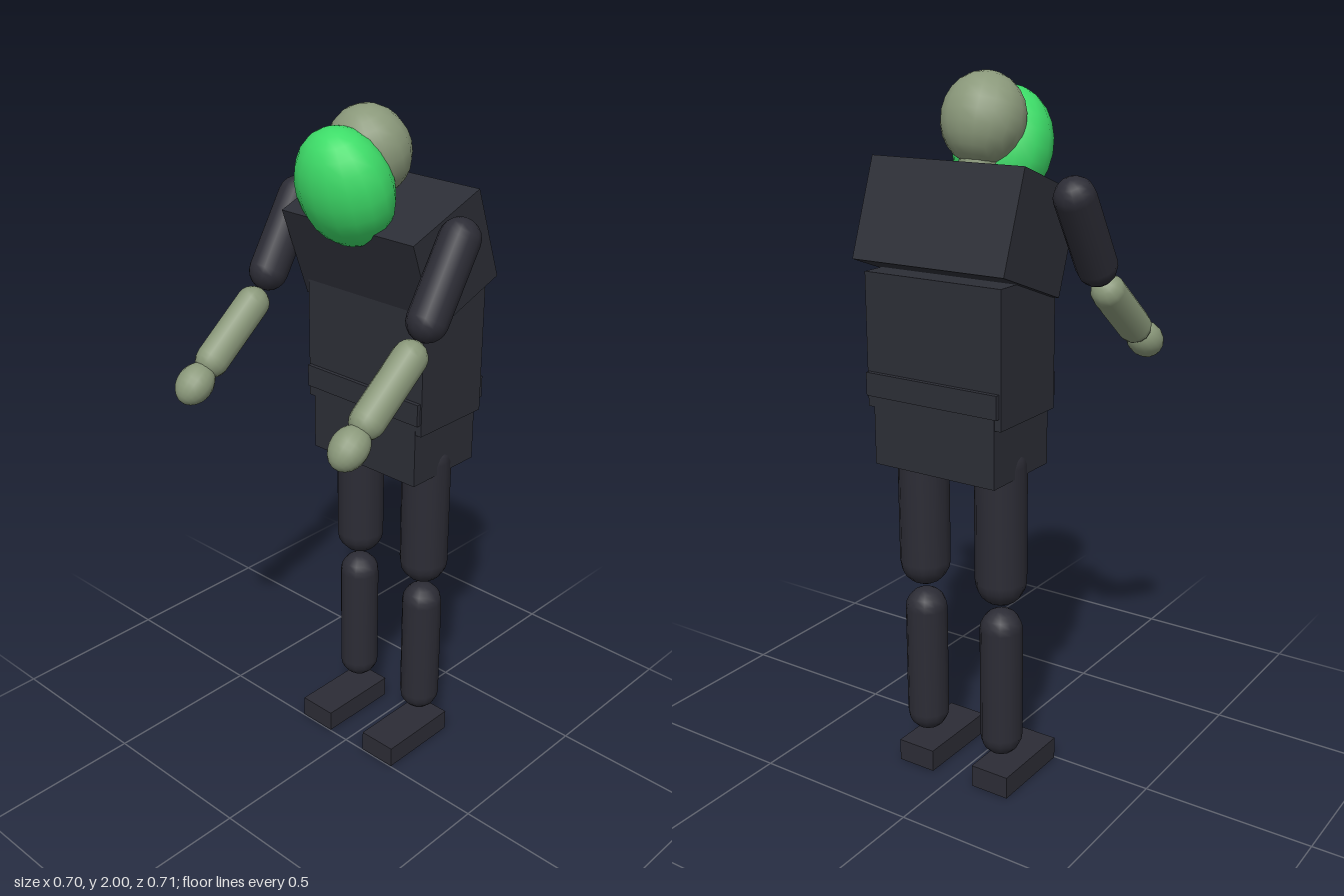
import * as THREE from 'three';

const suit = new THREE.MeshStandardMaterial({ name: 'dark suit', color: 0x2c2e36 });
const cloth = new THREE.MeshStandardMaterial({ name: 'dark cloth', color: 0x2c2c35 });
const skin = new THREE.MeshStandardMaterial({ name: 'grey green skin', color: 0x8a987a });
const green = new THREE.MeshStandardMaterial({ name: 'bright green mask', color: 0x3ddc68 });

export function createModel() {
  const model = new THREE.Group();
  model.name = 'figure';

  const add = (name, geometry, material, x, y, z, tilt = 0) => {
    const mesh = new THREE.Mesh(geometry, material);
    mesh.name = name;
    mesh.position.set(x, y, z);
    mesh.rotation.x = tilt;
    model.add(mesh);
    return mesh;
  };
  const box = (name, material, w, h, d, x, y, z, tilt) =>
    add(name, new THREE.BoxGeometry(w, h, d), material, x, y, z, tilt);
  const ellipsoid = (name, material, rx, ry, rz, x, y, z, tilt) =>
    add(name, new THREE.SphereGeometry(1, 16, 12).scale(rx, ry, rz), material, x, y, z, tilt);
  // Capsule between two end-sphere centres given as [y, z]
  const limb = (name, material, r, x, [y0, z0], [y1, z1]) => {
    const length = Math.hypot(y1 - y0, z1 - z0);
    add(name, new THREE.CapsuleGeometry(r, length, 5, 12), material,
      x, (y0 + y1) / 2, (z0 + z1) / 2, Math.atan2(z0 - z1, y0 - y1));
  };

  // Torso, with the chest hunched forward
  box('hips', suit, 0.39, 0.2, 0.26, 0, 1.06, -0.202);
  box('belly', suit, 0.43, 0.37, 0.258, 0, 1.307, -0.202);
  box('belt', suit, 0.42, 0.065, 0.284, 0, 1.188, -0.203);
  box('chest', suit, 0.475, 0.277, 0.279, 0, 1.608, -0.174, 0.35);

  // Head and mask
  add('neck', new THREE.CylinderGeometry(0.053, 0.053, 0.14, 12), skin, 0, 1.745, -0.115, 0.2);
  ellipsoid('head', skin, 0.117, 0.124, 0.109, 0, 1.878, -0.088, 0.35);
  ellipsoid('mask', green, 0.142, 0.167, 0.118, 0, 1.798, 0.004, 0.35);

  for (const side of [1, -1]) {
    const label = side > 0 ? 'left' : 'right';

    // Arm reaching forward
    const ax = side * 0.293;
    limb(label + 'UpperArm', cloth, 0.057, ax, [1.696, -0.11], [1.506, 0.008]);
    limb(label + 'Forearm', skin, 0.049, ax, [1.425, 0.075], [1.3, 0.231]);
    ellipsoid(label + 'Hand', skin, 0.053, 0.065, 0.05, ax, 1.249, 0.298, -0.9);

    // Leg
    const lx = side * 0.13;
    limb(label + 'Thigh', cloth, 0.073, lx, [0.985, -0.203], [0.645, -0.203]);
    limb(label + 'Shin', cloth, 0.061, lx, [0.494, -0.201], [0.163, -0.201]);
    box(label + 'Foot', cloth, 0.12, 0.066, 0.262, lx, 0.033, -0.134);
  }
  return model;
}
